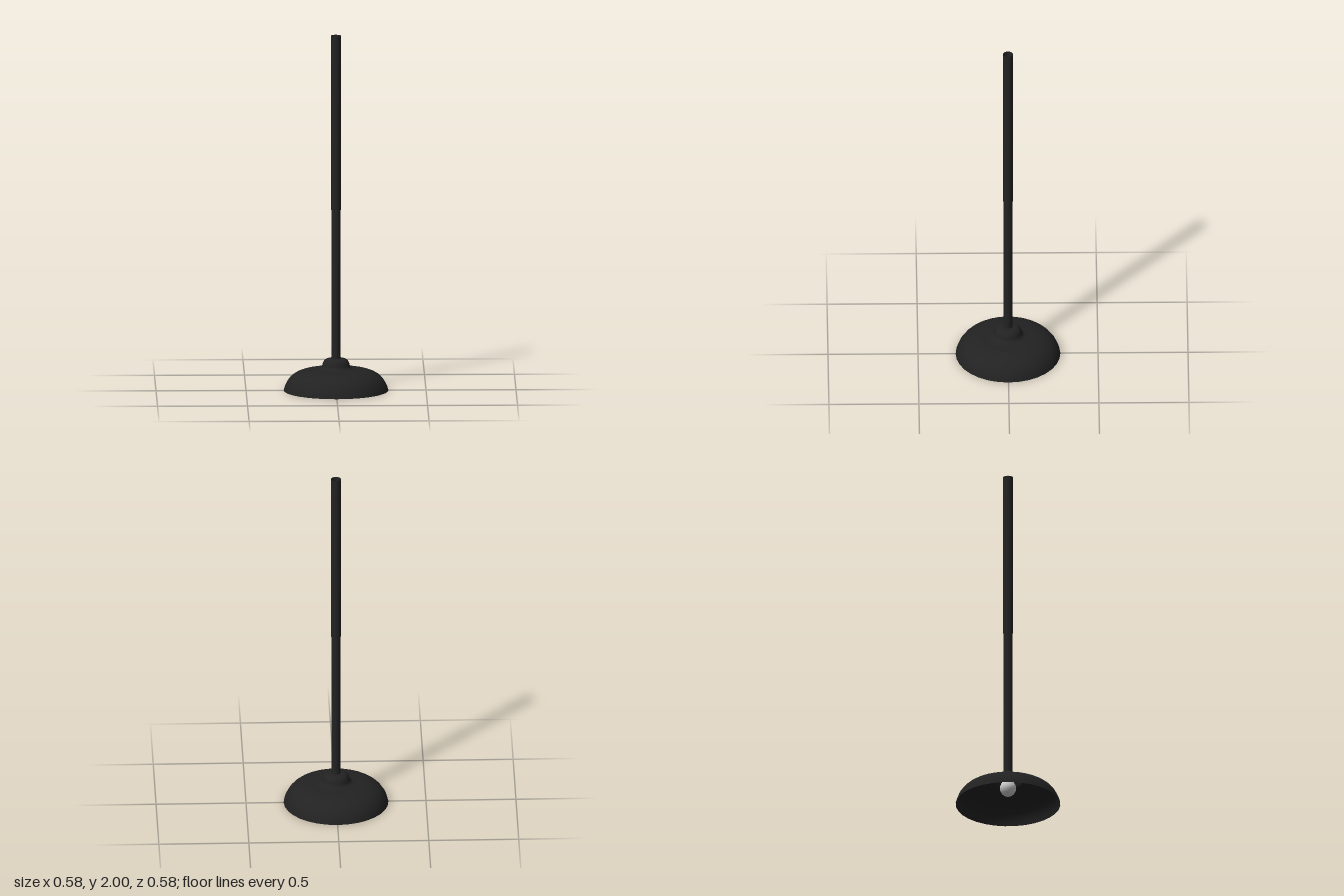
import * as THREE from 'three';

const SIDES = 32;

// Smooth surface of revolution through a few [radius, height] points
function lathe(name, points, material, steps = 0) {
  let profile = points.map(([r, y]) => new THREE.Vector2(r, y));
  if (steps) {
    profile = new THREE.SplineCurve(profile).getPoints(steps);
    profile.forEach((p) => { p.x = Math.max(p.x, 0); });
  }
  const mesh = new THREE.Mesh(new THREE.LatheGeometry(profile, SIDES), material);
  mesh.name = name;
  return mesh;
}

export function createModel() {
  const model = new THREE.Group();
  model.name = 'pendantLamp';
  const black = new THREE.MeshStandardMaterial({ color: 0x222222, side: THREE.DoubleSide });
  const grey = new THREE.MeshStandardMaterial({ color: 0xcccccc });

  // Open dome with a rounded collar, hollow underneath
  model.add(lathe('shade', [
    [0.291, 0], [0.281, 0.032], [0.262, 0.064], [0.235, 0.089], [0.2, 0.106],
    [0.16, 0.115], [0.12, 0.119], [0.092, 0.124], [0.079, 0.136], [0.073, 0.156],
    [0.062, 0.173], [0.045, 0.18], [0.025, 0.181],
  ], black, 36));

  // Hollow hanging rod, slightly wider towards the ceiling
  const rodBottom = 0.17;
  const rod = new THREE.Mesh(
    new THREE.CylinderGeometry(0.028, 0.025, 2 - rodBottom, SIDES, 1, true), black);
  rod.name = 'rod';
  rod.position.y = (2 + rodBottom) / 2;
  model.add(rod);

  // Pear-shaped bulb with its neck seated in the rod
  model.add(lathe('bulb', [
    [0, 0.049], [0.018, 0.053], [0.035, 0.067], [0.045, 0.09], [0.042, 0.113],
    [0.031, 0.136], [0.024, 0.155], [0.023, 0.175], [0.016, 0.187], [0, 0.191],
  ], grey, 28));

  return model;
}
